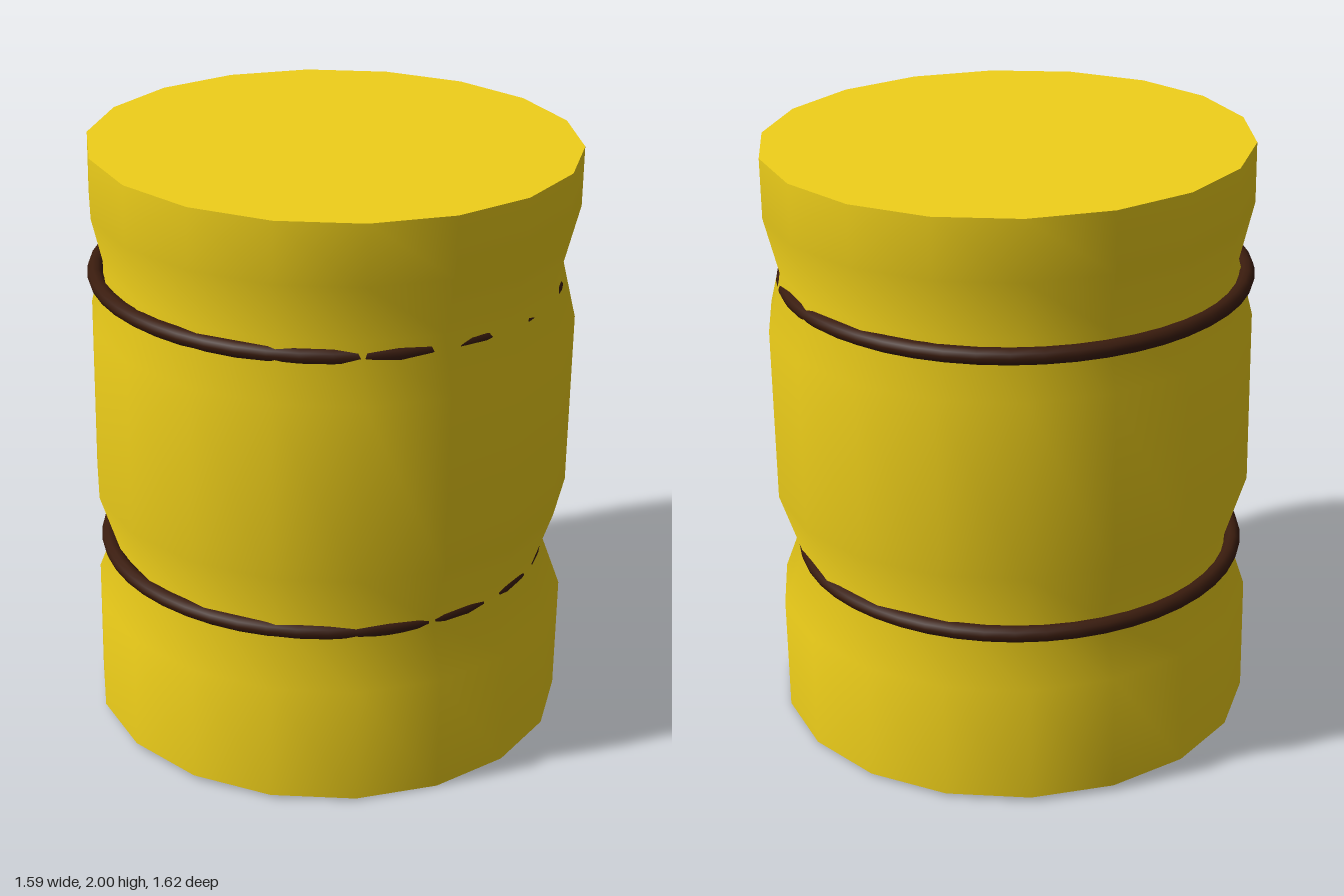
import * as THREE from 'three';

const SIDES = 18;
const HALF = 0.989; // half the barrel height

export function createModel() {
  const model = new THREE.Group();
  model.name = 'barrel';

  // everything shares a very slight lean
  const leaning = new THREE.Group();
  leaning.name = 'leaningBarrel';
  leaning.position.y = 1;
  leaning.rotation.set(0.0125, 0, -0.006);
  model.add(leaning);

  const yellow = new THREE.MeshStandardMaterial({ color: 0xf0d01a });
  const brown = new THREE.MeshStandardMaterial({ color: 0x3a1c0e });

  const add = (name, geometry, material) => {
    const mesh = new THREE.Mesh(geometry, material);
    mesh.name = name;
    leaning.add(mesh);
    return mesh;
  };

  // wall with two pinched necks
  const profile = [
    [0.8, -HALF], [0.8, -0.59], [0.73, -0.405], [0.8, -0.19],
    [0.8, 0.405], [0.753, 0.595], [0.8, 0.79], [0.8, HALF],
  ].map(([r, y]) => new THREE.Vector2(r, y));
  add('wall', new THREE.LatheGeometry(profile, SIDES), yellow);

  // flat lid and base
  for (const [name, s] of [['lid', 1], ['base', -1]]) {
    const disc = new THREE.CircleGeometry(0.8, SIDES, Math.PI / 2);
    disc.rotateX(-s * Math.PI / 2);
    add(name, disc, yellow).position.y = s * HALF;
  }

  // dark hoops, set slightly back so the front sinks into the wall
  const hoops = [
    ['lowerHoop', 0.757, -0.412, -0.007, -0.029],
    ['upperHoop', 0.782, 0.548, -0.005, -0.027],
  ];
  for (const [name, outer, y, x, z] of hoops) {
    const tube = 0.027;
    const ring = new THREE.TorusGeometry(outer - tube, tube, 10, 48);
    ring.rotateX(Math.PI / 2);
    add(name, ring, brown).position.set(x, y, z);
  }

  return model;
}
